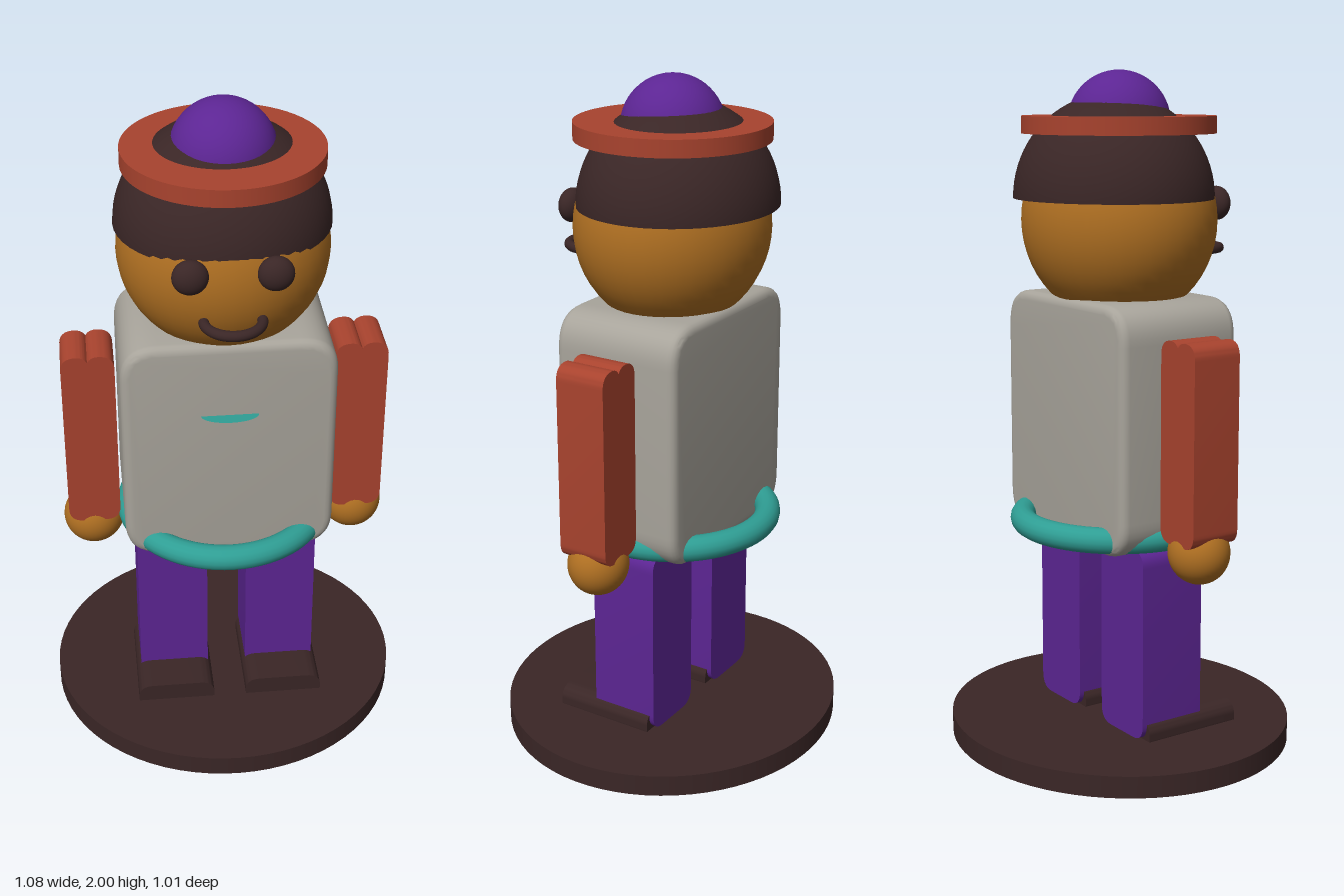
import * as THREE from 'three';
import { toCreasedNormals } from 'three/addons/utils/BufferGeometryUtils.js';

const mat = (name, color) => {
  const m = new THREE.MeshStandardMaterial({ color });
  m.name = name;
  return m;
};

// Rounded rectangle centred on the origin; notch dents the middle of both ends
function roundedRect(w, h, r, notch = 0) {
  const x = w / 2, y = h / 2, s = new THREE.Shape();
  s.moveTo(-x, -y + r);
  s.lineTo(-x, y - r);
  s.quadraticCurveTo(-x, y, -x + r, y);
  if (notch) {
    s.quadraticCurveTo(-0.01, y, 0, y - notch);
    s.quadraticCurveTo(0.01, y, x - r, y);
  } else s.lineTo(x - r, y);
  s.quadraticCurveTo(x, y, x, y - r);
  s.lineTo(x, -y + r);
  s.quadraticCurveTo(x, -y, x - r, -y);
  if (notch) {
    s.quadraticCurveTo(0.01, -y, 0, -y + notch);
    s.quadraticCurveTo(-0.01, -y, -x + r, -y);
  } else s.lineTo(-x + r, -y);
  s.quadraticCurveTo(-x, -y, -x, -y + r);
  return s;
}

// Slab extruded along z and centred, with an optional soft edge
function slab(shape, depth, bevel = 0) {
  const g = new THREE.ExtrudeGeometry(shape, {
    depth: depth - 2 * bevel, curveSegments: 10,
    bevelEnabled: bevel > 0, bevelThickness: bevel, bevelSize: bevel,
    bevelOffset: -bevel, bevelSegments: 4,
  });
  g.translate(0, 0, -depth / 2 + bevel);
  return toCreasedNormals(g, 0.6);
}

export function createModel() {
  const group = new THREE.Group();
  const skin = mat('skin', 0xb07022);
  const dark = mat('dark brown', 0x3a2626);
  const red = mat('brick red', 0xa8432e);
  const purple = mat('purple', 0x5c2593);
  const teal = mat('teal', 0x2f9e94);
  const grey = mat('warm grey', 0xa8a49b);
  dark.side = teal.side = THREE.DoubleSide;

  const add = (name, geometry, material, x, y, z) => {
    const m = new THREE.Mesh(geometry, material);
    m.name = name;
    m.position.set(x, y, z);
    group.add(m);
    return m;
  };
  const ball = (rx, ry, rz) => new THREE.SphereGeometry(1, 40, 28).scale(rx, ry, rz);

  // Oval stand
  add('base', new THREE.CylinderGeometry(1, 1, 0.065, 72).scale(0.54, 1, 0.505), dark, 0, 0.0325, 0);

  // Torso and belt
  add('torso', slab(roundedRect(0.62, 0.725, 0.11), 0.4, 0.025), grey, 0, 0.9925, 0);
  add('belt', new THREE.TorusGeometry(0.29, 0.038, 16, 72).rotateX(Math.PI / 2), teal, 0, 0.678, 0);

  // Flat badge standing out from the chest
  const badge = new THREE.Shape();
  badge.absellipse(0, 0, 0.083, 0.04, Math.PI, Math.PI * 2, false);
  add('chestBadge', new THREE.ShapeGeometry(badge, 16).rotateX(-Math.PI / 2), teal, 0, 1.124, 0.2);

  // Limbs, mirrored
  const arm = slab(roundedRect(0.155, 0.58, 0.045, 0.018), 0.155);
  const leg = slab(roundedRect(0.215, 0.575, 0.05), 0.21);
  const foot = slab(roundedRect(0.24, 0.09, 0.045), 0.315);
  for (const [side, s] of [['left', 1], ['right', -1]]) {
    add(side + 'Arm', arm, red, s * 0.398, 0.975, 0);
    add(side + 'Hand', ball(0.092, 0.092, 0.088), skin, s * 0.4, 0.657, 0);
    add(side + 'Leg', leg, purple, s * 0.168, 0.3525, 0);
    add(side + 'Foot', foot, dark, s * 0.17, 0.078, 0.0675);
    add(side + 'Eye', ball(0.05, 0.05, 0.036), dark, s * 0.115, 1.615, 0.27);
  }

  // Head, hair and mouth
  add('head', ball(0.302, 0.3, 0.28), skin, 0, 1.57, 0);
  add('hair', new THREE.SphereGeometry(1, 48, 20, 0, Math.PI * 2, 0, Math.PI / 2)
    .scale(0.307, 0.3, 0.287), dark, 0, 1.635, -0.019);
  add('mouth', new THREE.TorusGeometry(0.08, 0.015, 12, 32, Math.PI).rotateX(Math.PI / 2), dark, 0, 1.475, 0.27);

  // Hat
  add('hatBrim', new THREE.CylinderGeometry(0.283, 0.283, 0.05, 64), red, 0, 1.845, 0);
  add('hatDome', ball(0.15, 0.15, 0.15), purple, 0, 1.85, 0);

  return group;
}
